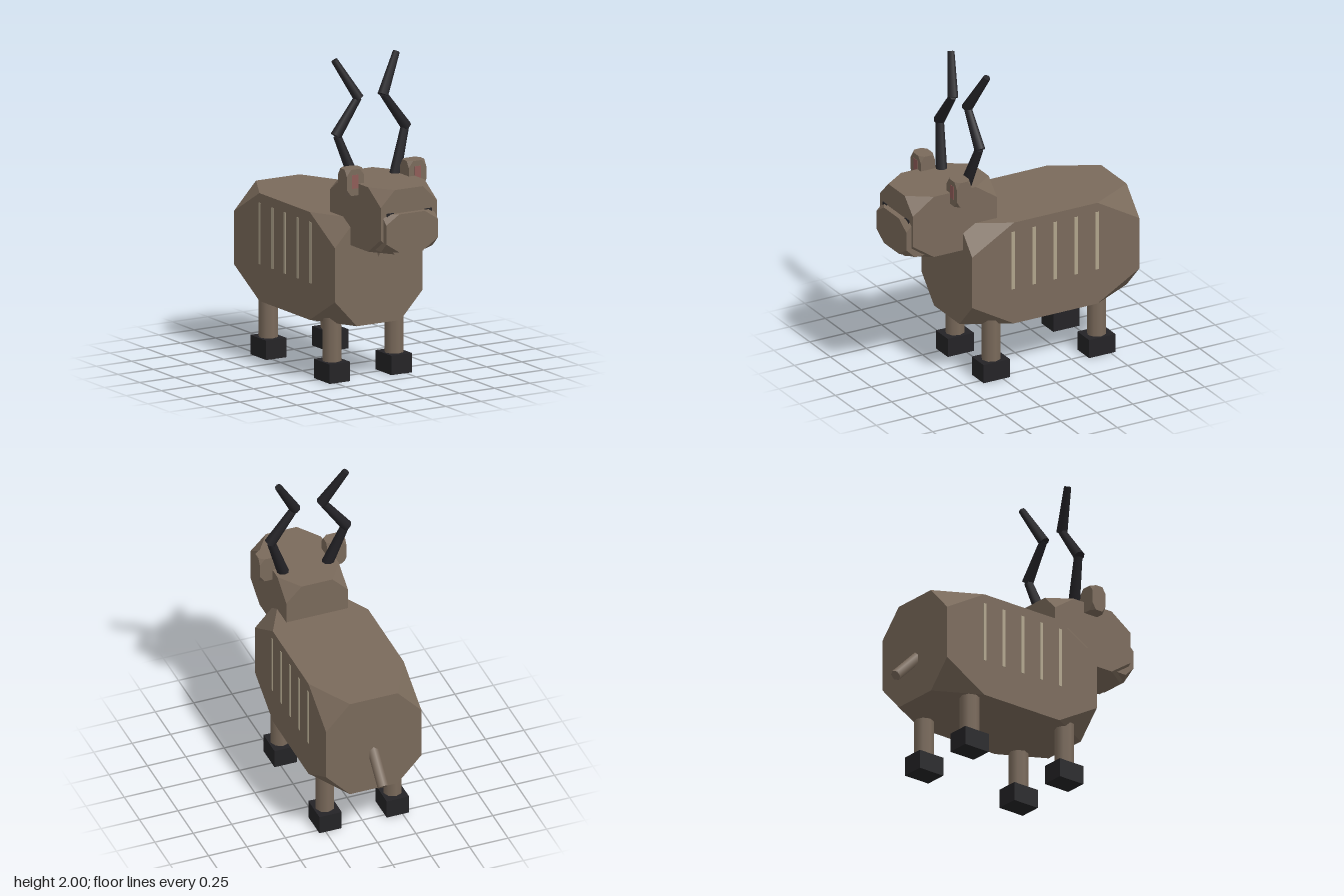
import * as THREE from 'three';
import { ConvexGeometry } from 'three/addons/geometries/ConvexGeometry.js';

const mat = (color, flatShading = false) => new THREE.MeshStandardMaterial({ color, flatShading });
const hide = mat(0x7a6a5b, true), hideSmooth = mat(0x7a6a5b);
const black = mat(0x242326, true), horn = mat(0x232226);
const pale = mat(0xb0a48c), pink = mat(0x8f5c58);

export function createModel() {
  const root = new THREE.Group();

  const add = (name, geometry, material, x = 0, y = 0, z = 0) => {
    const mesh = new THREE.Mesh(geometry, material);
    mesh.name = name;
    mesh.position.set(x, y, z);
    root.add(mesh);
    return mesh;
  };
  const box = (name, material, w, h, d, x, y, z) =>
    add(name, new THREE.BoxGeometry(w, h, d), material, x, y, z);

  // Block whose eight corners are cut off a quarter of the way along each edge
  const cutBlock = (name, w, h, d, x, y, z) => {
    const points = [];
    for (const sx of [-1, 1]) for (const sy of [-1, 1]) for (const sz of [-1, 1]) {
      for (const [a, b, c] of [[0.25, 0.5, 0.5], [0.5, 0.25, 0.5], [0.5, 0.5, 0.25]]) {
        points.push(new THREE.Vector3(sx * a * w, sy * b * h, sz * c * d));
      }
    }
    return add(name, new ConvexGeometry(points), hide, x, y, z);
  };

  // Tapered rod between two points
  const rod = (name, material, from, to, r0, r1, sides) => {
    const a = new THREE.Vector3(...from), b = new THREE.Vector3(...to);
    const dir = b.clone().sub(a);
    const mesh = add(name, new THREE.CylinderGeometry(r1, r0, dir.length(), sides), material);
    mesh.position.copy(a).add(b).multiplyScalar(0.5);
    mesh.quaternion.setFromUnitVectors(new THREE.Vector3(0, 1, 0), dir.normalize());
    return mesh;
  };

  // Trunk, neck, head and tail
  cutBlock('body', 0.62, 0.67, 1.163, 0, 0.695, -0.107);
  rod('neck', hide, [0, 0.67, 0.28], [0, 1.08, 0.452], 0.14, 0.14, 4);
  cutBlock('head', 0.4, 0.4, 0.585, 0, 1.07, 0.532);
  cutBlock('snout', 0.365, 0.235, 0.24, 0, 1.007, 0.74);
  rod('tail', hideSmooth, [0, 0.69, -0.62], [0, 0.473, -0.838], 0.034, 0.034, 6);

  for (const s of [-1, 1]) {
    const side = s > 0 ? 'left' : 'right';

    // Legs and hooves
    for (const [end, z] of [['Front', 0.293], ['Back', -0.441]]) {
      rod(`${side}${end}Leg`, hideSmooth, [s * 0.22, 0.1, z], [s * 0.22, 0.5, z], 0.06, 0.06, 8);
      box(`${side}${end}Hoof`, black, 0.145, 0.12, 0.182, s * 0.219, 0.06, z);
    }

    // Flank stripes
    for (let i = 0; i < 5; i++) {
      box(`${side}Stripe`, pale, 0.02, 0.38, 0.022, s * 0.303, 0.78, 0.19 - i * 0.146);
    }

    // Ears with inner patch
    cutBlock(`${side}Ear`, 0.124, 0.163, 0.1, s * 0.22, 1.28, 0.515);
    box(`${side}InnerEar`, pink, 0.045, 0.085, 0.02, s * 0.222, 1.285, 0.557);

    // Nostrils
    box(`${side}Nostril`, black, 0.05, 0.035, 0.02, s * 0.135, 1.112, 0.822);

    // Zigzag horns
    rod(`${side}HornLower`, horn, [s * 0.14, 1.25, 0.432], [s * 0.24, 1.535, 0.386], 0.037, 0.026, 8);
    rod(`${side}HornMiddle`, horn, [s * 0.25, 1.535, 0.386], [s * 0.09, 1.755, 0.382], 0.035, 0.024, 8);
    rod(`${side}HornUpper`, horn, [s * 0.085, 1.75, 0.384], [s * 0.22, 1.99, 0.32], 0.034, 0.022, 8);
  }

  return root;
}
